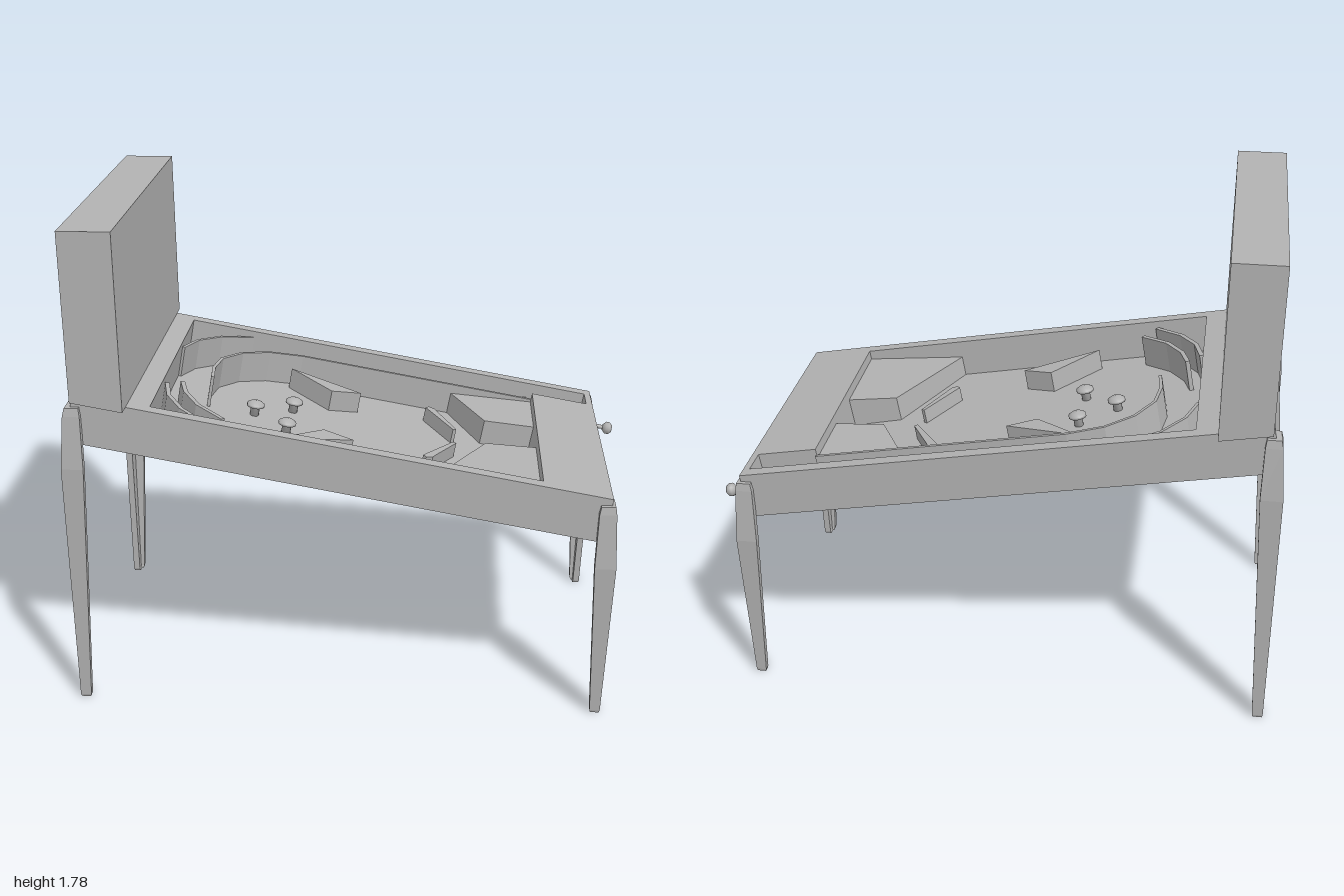
import * as THREE from 'three';

const grey = new THREE.MeshStandardMaterial({ color: 0xb2b2b2 });
grey.name = 'plain grey';

const TILT = Math.atan(0.18);
const FLOOR = -0.146; // playfield surface, measured down from the cabinet top
const BOTTOM = -0.168;

// world x of a point at depth v below the cabinet top -> distance along the sloping cabinet
const along = (x, v = 0) => (x + 0.02 - Math.sin(TILT) * v) / Math.cos(TILT);

function add(parent, name, geometry, x = 0, y = 0, z = 0) {
  const mesh = new THREE.Mesh(geometry, grey);
  mesh.name = name;
  mesh.position.set(x, y, z);
  parent.add(mesh);
  return mesh;
}

// box given by its limits
function block(parent, name, x0, x1, y0, y1, z0, z1) {
  return add(parent, name, new THREE.BoxGeometry(x1 - x0, y1 - y0, z1 - z0),
    (x0 + x1) / 2, (y0 + y1) / 2, (z0 + z1) / 2);
}

// upright prism over a plan outline of [x, z] points, from the playfield to a given top
function prism(parent, name, points, top) {
  const shape = new THREE.Shape(points.map(([x, z]) => new THREE.Vector2(along(x, top), -z)));
  const geo = new THREE.ExtrudeGeometry(shape, { depth: top - FLOOR, bevelEnabled: false });
  geo.rotateX(-Math.PI / 2);
  return add(parent, name, geo, 0, FLOOR, 0);
}

// thin upright wall following a plan path
function wall(parent, name, path, top, thickness = 0.012) {
  const side = (s) => path.map(([x, z], i) => {
    const a = path[Math.max(i - 1, 0)], b = path[Math.min(i + 1, path.length - 1)];
    const dx = b[0] - a[0], dz = b[1] - a[1], l = Math.hypot(dx, dz);
    return [x - (dz / l) * s * thickness / 2, z + (dx / l) * s * thickness / 2];
  });
  return prism(parent, name, [...side(1), ...side(-1).reverse()], top);
}

// angle-section leg; rows are [y, outer x, inner x, outer z, inner z]
function leg(parent, name, sx, sz, rows) {
  const t = 0.025, pos = [], index = [];
  for (const [y, xo, xi, zo, zi] of rows) {
    const section = [[xo, zo], [xi, zo], [xi, zo - t], [xo - t, zo - t], [xo - t, zi], [xo, zi]];
    for (const [x, z] of section) pos.push(sx * x, y, sz * z);
  }
  const tri = (a, b, c) => (sx * sz > 0 ? index.push(a, b, c) : index.push(a, c, b));
  for (let j = 0; j < rows.length - 1; j++) {
    for (let k = 0; k < 6; k++) {
      const a = j * 6 + k, b = j * 6 + (k + 1) % 6;
      tri(a, a + 6, b);
      tri(b, a + 6, b + 6);
    }
  }
  const last = (rows.length - 1) * 6;
  for (const [a, b, c] of [[3, 4, 5], [3, 5, 0], [3, 0, 1], [3, 1, 2]]) {
    tri(a, b, c);
    tri(last + a, last + c, last + b);
  }
  const indexed = new THREE.BufferGeometry();
  indexed.setAttribute('position', new THREE.Float32BufferAttribute(pos, 3));
  indexed.setIndex(index);
  const geo = indexed.toNonIndexed();
  geo.computeVertexNormals();
  add(parent, name, geo);
}

function buildCabinet(table) {
  const end = 0.945, back = along(-0.69), front = along(0.67), panel = 0.92;
  block(table, 'cabinetFloor', -end, panel, BOTTOM, FLOOR, -0.525, 0.525);
  for (const s of [-1, 1]) {
    const rail = block(table, 'sideRail', back, panel, FLOOR, 0, 0.478, 0.525);
    rail.position.z *= s;
  }
  block(table, 'rearDeck', -end, back, FLOOR, 0, -0.525, 0.525);
  block(table, 'apron', front, panel, FLOOR, 0, -0.37, 0.478);

  // front panel with the recessed coin door opening
  const rect = (P, x0, x1, y0, y1) => {
    const p = new P();
    p.moveTo(x0, y0); p.lineTo(x1, y0); p.lineTo(x1, y1); p.lineTo(x0, y1); p.closePath();
    return p;
  };
  const shape = rect(THREE.Shape, -0.525, 0.525, BOTTOM, 0);
  shape.holes.push(rect(THREE.Path, -0.242, 0.242, -0.127, -0.033));
  const geo = new THREE.ExtrudeGeometry(shape, { depth: end - panel, bevelEnabled: false });
  geo.rotateY(Math.PI / 2);
  add(table, 'frontPanel', geo, panel, 0, 0);
}

function buildPlayfield(table) {
  // curved ball guides and the shooter lane wall
  const top = -0.025;
  wall(table, 'upperGuide', [[-0.69, -0.22], [-0.65, -0.33], [-0.57, -0.42], [-0.45, -0.48]], top);
  wall(table, 'laneGuide', [[-0.54, 0.03], [-0.55, -0.07], [-0.535, -0.18], [-0.47, -0.28],
    [-0.37, -0.345], [-0.24, -0.372], [0.67, -0.372]], top);
  wall(table, 'outerGuide', [[-0.685, 0.17], [-0.66, 0.28], [-0.6, 0.38], [-0.5, 0.47]], top, 0.016);
  wall(table, 'innerGuide', [[-0.635, 0.13], [-0.61, 0.22], [-0.55, 0.32], [-0.45, 0.405]], top, 0.016);

  // triangular kickers
  prism(table, 'kicker', [[-0.28, -0.315], [0, -0.19], [-0.11, -0.155]], -0.065);
  prism(table, 'kicker', [[-0.28, 0.405], [-0.11, 0.235], [0, 0.28]], -0.065);

  // drain corner blocks, lower toward the playfield
  const corners = [
    [[0.35, -0.37], [0.48, -0.11], [0.67, -0.1], [0.67, -0.37]],
    [[0.29, 0.478], [0.48, 0.11], [0.67, 0.1], [0.67, 0.478]],
  ];
  for (const outline of corners) {
    const geo = prism(table, 'drainCorner', outline, -0.035).geometry;
    const p = geo.attributes.position;
    for (let i = 0; i < p.count; i++) {
      if (p.getY(i) > 0.01) p.setY(i, p.getY(i) - (along(0.67) - p.getX(i)) * 0.085);
    }
    geo.computeVertexNormals();
  }

  // flippers
  for (const s of [-1, 1]) {
    prism(table, 'flipper', [[0.25, 0.235], [0.262, 0.25], [0.285, 0.238], [0.292, 0.222],
      [0.37, 0.068], [0.358, 0.06]].map(([x, z]) => [x, s * z]), -0.09);
  }

  // mushroom bumpers
  const profile = [[0, 0], [0.017, 0], [0.017, 0.03], [0.033, 0.036], [0.033, 0.045],
    [0.02, 0.054], [0, 0.058]].map(([r, y]) => new THREE.Vector2(r, y));
  for (const [x, z] of [[-0.245, -0.075], [-0.38, 0.025], [-0.25, 0.14]]) {
    add(table, 'bumper', new THREE.LatheGeometry(profile, 16), along(x, -0.09), FLOOR, z);
  }
}

function buildPlunger(table) {
  const v = -0.105, z = -0.425, at = (x) => along(x, v);
  const rod = (name, r, x0, x1) => {
    const geo = new THREE.CylinderGeometry(r, r, at(x1) - at(x0), 16);
    geo.rotateZ(Math.PI / 2);
    add(table, name, geo, (at(x0) + at(x1)) / 2, v, z);
  };
  add(table, 'ball', new THREE.SphereGeometry(0.033, 24, 16), at(0.572), -0.113, z);
  rod('plungerTip', 0.018, 0.608, 0.632);
  rod('plungerRod', 0.008, 0.62, 0.965);
  block(table, 'plungerBracket', at(0.63), at(0.645), FLOOR, -0.06, -0.478, -0.37);

  // coil spring
  const turns = 14, points = [];
  for (let i = 0; i <= turns * 10; i++) {
    const a = i / 10 * Math.PI * 2;
    points.push(new THREE.Vector3(at(0.645 + 0.235 * i / (turns * 10)),
      v + 0.015 * Math.cos(a), z + 0.015 * Math.sin(a)));
  }
  add(table, 'plungerSpring',
    new THREE.TubeGeometry(new THREE.CatmullRomCurve3(points), turns * 14, 0.0035, 6));

  // pull knob
  const knob = new THREE.LatheGeometry([[0, 0], [0.012, 0], [0.024, 0.012], [0.024, 0.026],
    [0.015, 0.036], [0, 0.038]].map(([r, y]) => new THREE.Vector2(r, y)), 16);
  knob.rotateZ(-Math.PI / 2);
  add(table, 'plungerKnob', knob, at(0.961), v, z);
}

export function createModel() {
  const model = new THREE.Group();
  model.name = 'pinballTable';

  const table = new THREE.Group();
  table.name = 'slopingCabinet';
  table.position.set(-0.02, 1.018, 0);
  table.rotation.z = -TILT;
  model.add(table);
  buildCabinet(table);
  buildPlayfield(table);
  buildPlunger(table);

  // upright back box with a sloping underside
  const side = new THREE.Shape([[-0.945, 1.184], [-0.765, 1.152], [-0.767, 1.78], [-0.948, 1.78]]
    .map(([x, y]) => new THREE.Vector2(x, y)));
  add(model, 'backBox', new THREE.ExtrudeGeometry(side, { depth: 1.156, bevelEnabled: false }), 0, 0, -0.578);

  // tapered legs, short in front and tall behind
  const frontRows = [[0.01, 0.91, 0.873, 0.53, 0.475], [0, 0.907, 0.876, 0.527, 0.478]].reverse().concat([
    [0.6, 0.93, 0.855, 0.56, 0.45], [0.8, 0.922, 0.862, 0.545, 0.462], [0.828, 0.918, 0.868, 0.54, 0.467]]);
  const rearRows = [[0, 0.993, 0.96, 0.527, 0.478], [0.01, 0.996, 0.957, 0.53, 0.475],
    [0.93, 0.996, 0.918, 0.56, 0.45], [1.12, 0.982, 0.922, 0.545, 0.462], [1.15, 0.975, 0.926, 0.54, 0.467]];
  for (const sz of [-1, 1]) {
    leg(model, 'frontLeg', 1, sz, frontRows);
    leg(model, 'rearLeg', -1, sz, rearRows);
  }
  return model;
}
